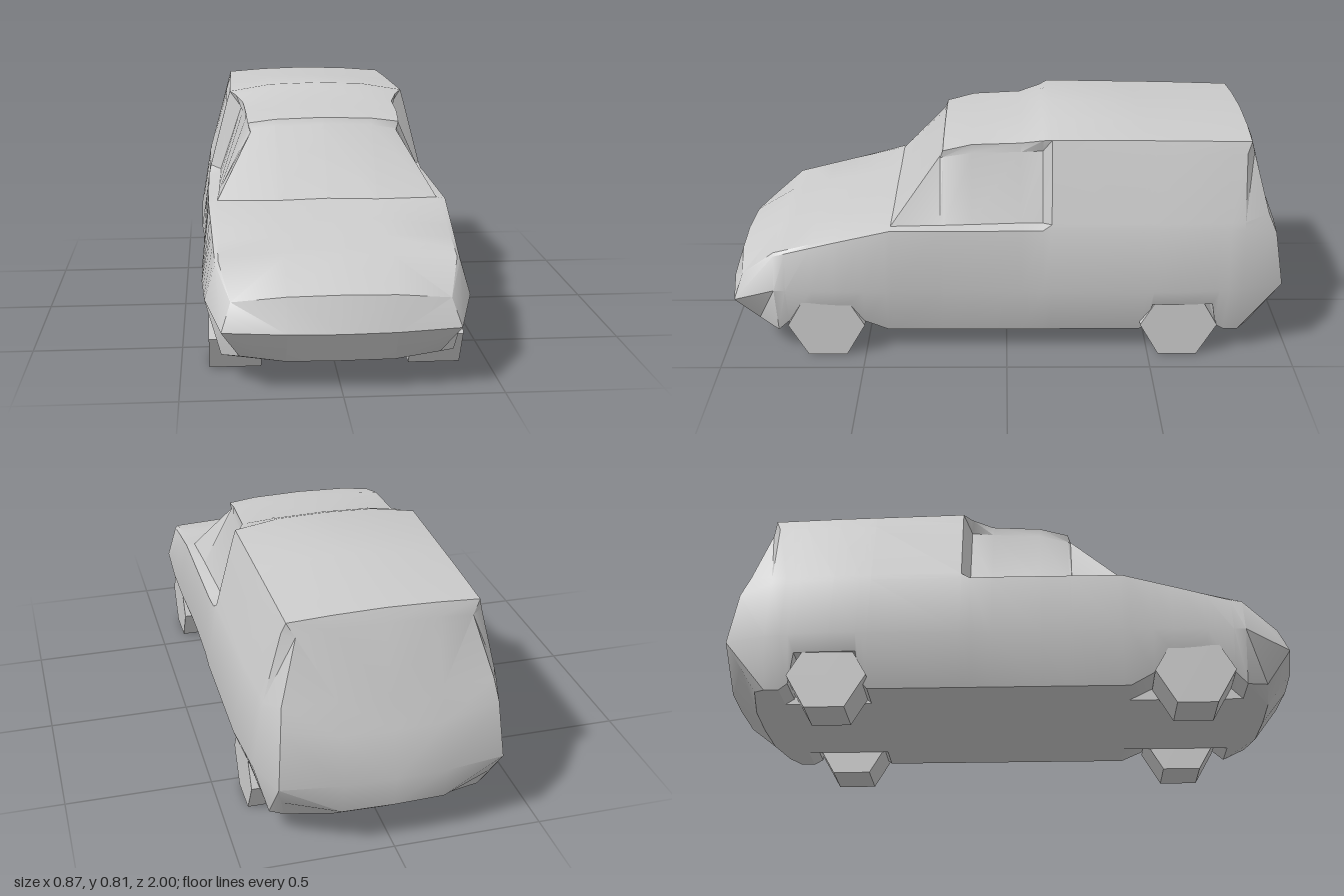
import * as THREE from 'three';
import { toCreasedNormals } from 'three/addons/utils/BufferGeometryUtils.js';

// Stations from hood to tail:
// z, waist x, belt x,y, window bottom x,y, window top x,y, roof edge x,y, centre y
const STATIONS = [
  [0.81, 0.42, 0.385, 0.375, 0.375, 0.385, 0.375, 0.385, 0.375, 0.385, 0.4],
  [0.6, 0.43, 0.395, 0.43, 0.378, 0.437, 0.378, 0.437, 0.378, 0.437, 0.45],
  [0.4, 0.43, 0.405, 0.48, 0.375, 0.485, 0.375, 0.485, 0.375, 0.485, 0.487],
  [0.23, 0.425, 0.405, 0.48, 0.367, 0.485, 0.255, 0.69, 0.252, 0.697, 0.715],
  [0.22, 0.425, 0.405, 0.48, 0.367, 0.485, 0.26, 0.695, 0.265, 0.72, 0.737],
  [0.12, 0.425, 0.405, 0.48, 0.365, 0.487, 0.272, 0.715, 0.27, 0.745, 0.757],
  [-0.05, 0.428, 0.405, 0.48, 0.36, 0.49, 0.277, 0.72, 0.275, 0.752, 0.77],
  [-0.125, 0.432, 0.402, 0.48, 0.36, 0.49, 0.28, 0.725, 0.3, 0.77, 0.8],
  [-0.155, 0.434, 0.402, 0.48, 0.397, 0.5, 0.335, 0.735, 0.322, 0.78, 0.81],
  [-0.6, 0.437, 0.4, 0.48, 0.395, 0.5, 0.33, 0.73, 0.315, 0.775, 0.794],
  [-0.82, 0.42, 0.388, 0.475, 0.382, 0.5, 0.323, 0.73, 0.311, 0.77, 0.786],
];

// Lower edge of the sides, with the wheel arches: z, y
const SILL = [
  [0.81, 0.08], [0.77, 0.12], [0.68, 0.18], [0.57, 0.18], [0.5, 0.12], [0.42, 0.08],
  [-0.47, 0.08], [-0.49, 0.1], [-0.51, 0.2], [-0.72, 0.2], [-0.74, 0.1], [-0.77, 0.08], [-0.82, 0.08],
];

// Linear lookup in a table sorted by falling z
function sample(table, z) {
  let i = 0;
  while (i < table.length - 2 && z < table[i + 1][0]) i++;
  const a = table[i], b = table[i + 1];
  const t = (z - a[0]) / (b[0] - a[0]);
  return a.map((v, k) => v + (b[k] - v) * t);
}

// Half cross-section, from floor centre round the left side to roof centre
function section(z) {
  const [, wx, bx, by, gx, gy, tx, ty, ex, ey, cy] = sample(STATIONS, z);
  const sy = sample(SILL, z)[1];
  const sx = 0.37 + (wx - 0.37) * (sy - 0.08) / 0.18;
  return [
    [0, 0.08, z], [0.24, 0.08, z], [0.24, sy, z], [sx, sy, z], [wx, 0.26, z],
    [bx, by, z], [gx, gy, z], [tx, ty, z], [ex, ey, z], [0.17, cy - 0.005, z], [0, cy, z],
  ];
}

// Adds a grid of points as triangles, plus its mirror image in x
function addGrid(out, rows, flip) {
  const tri = (a, b, c) => {
    const [A, B, C] = [a, b, c].map(p => new THREE.Vector3(...p));
    if (B.sub(A).cross(C.sub(A)).length() < 1e-9) return;
    out.push(...a, ...b, ...c);
    for (const p of [a, c, b]) out.push(-p[0], p[1], p[2]);
  };
  for (let i = 0; i < rows.length - 1; i++) {
    for (let j = 0; j < rows[i].length - 1; j++) {
      const a = rows[i][j], b = rows[i][j + 1], c = rows[i + 1][j + 1], d = rows[i + 1][j];
      if (flip) { tri(a, d, c); tri(a, c, b); } else { tri(a, b, c); tri(a, c, d); }
    }
  }
}

function bodyGeometry() {
  const out = [];
  const zs = [...new Set([...STATIONS, ...SILL].map(s => s[0]))].sort((a, b) => b - a);

  // Outlines where the body meets the nose and the tail
  const nose = [
    [0, 0.085, 0.91], [0.17, 0.085, 0.905], [0.17, 0.085, 0.905], [0.315, 0.1, 0.885], [0.37, 0.2, 0.96],
    [0.34, 0.288, 0.93], [0.34, 0.288, 0.93], [0.34, 0.288, 0.93], [0.34, 0.288, 0.93],
    [0.17, 0.308, 0.955], [0, 0.312, 0.96],
  ];
  const tail = [
    [0, 0.08, -0.89], [0.17, 0.08, -0.885], [0.17, 0.08, -0.885], [0.33, 0.09, -0.86], [0.37, 0.26, -0.965],
    [0.355, 0.45, -0.935], [0.345, 0.52, -0.905], [0.285, 0.725, -0.85], [0.311, 0.77, -0.835],
    [0.17, 0.78, -0.84], [0, 0.785, -0.842],
  ];
  addGrid(out, [nose, ...zs.map(section), tail], true);

  // Nose face
  addGrid(out, [
    [nose[0], nose[1], nose[3]],
    [[0, 0.2, 1], [0.17, 0.2, 0.992], nose[4]],
    [nose[10], nose[9], nose[8]],
  ], false);

  // Tail face with recessed rear window
  const low = nose[0].map((_, k) => (tail[3][k] + tail[4][k]) / 2);
  addGrid(out, [
    [tail[0], tail[1], tail[3]],
    [[0, 0.15, -0.98], [0.17, 0.15, -0.975], low],
    [[0, 0.26, -1], [0.17, 0.26, -0.994], tail[4]],
    [[0, 0.42, -0.965], [0.17, 0.42, -0.96], tail[5]],
    [[0, 0.52, -0.925], [0.17, 0.52, -0.92], tail[6]],
    [[0, 0.74, -0.862], [0.17, 0.737, -0.858], tail[7]],
    [tail[10], tail[9], tail[8]],
  ], true);

  const geometry = new THREE.BufferGeometry();
  geometry.setAttribute('position', new THREE.Float32BufferAttribute(out, 3));
  return toCreasedNormals(geometry, THREE.MathUtils.degToRad(32));
}

export function createModel() {
  const group = new THREE.Group();
  group.name = 'van';

  const body = new THREE.Mesh(
    bodyGeometry(),
    new THREE.MeshStandardMaterial({ color: 0xcccccc, side: THREE.DoubleSide }),
  );
  body.name = 'body';
  group.add(body);

  // Six-sided wheels resting on a flat
  const wheelGeometry = new THREE.CylinderGeometry(0.135, 0.135, 0.168, 6).rotateZ(Math.PI / 2);
  const wheelMaterial = new THREE.MeshStandardMaterial({ color: 0xcccccc, flatShading: true });
  for (const [end, z] of [['front', 0.635], ['rear', -0.605]]) {
    for (const [side, s] of [['Left', 1], ['Right', -1]]) {
      const wheel = new THREE.Mesh(wheelGeometry, wheelMaterial);
      wheel.name = `${end}${side}Wheel`;
      wheel.position.set(s * 0.325, 0.117, z);
      group.add(wheel);
    }
  }
  return group;
}
